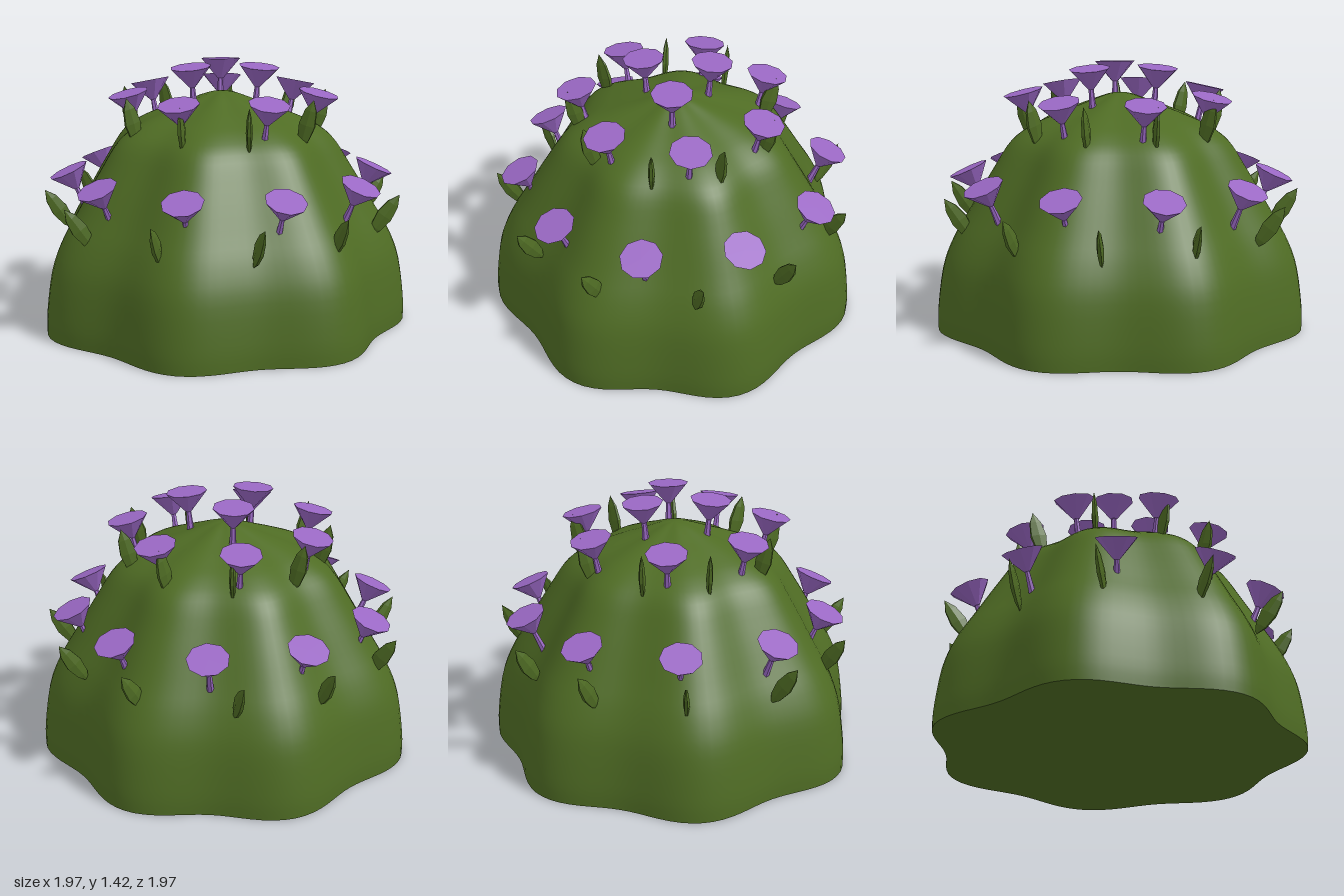
import * as THREE from 'three';
import { mergeVertices } from 'three/addons/utils/BufferGeometryUtils.js';

const green = new THREE.MeshStandardMaterial({ color: 0x4f6c24 });
green.name = 'mossGreen';
const purple = new THREE.MeshStandardMaterial({ color: 0x9a68c4, flatShading: true });
purple.name = 'petalPurple';
const leafGreen = new THREE.MeshStandardMaterial({ color: 0x4f6c24, flatShading: true });
leafGreen.name = 'leafGreen';

const v2 = (pairs) => pairs.map(([x, y]) => new THREE.Vector2(x, y));

// Revolve a profile, then swell it into seven soft lobes
function lobed(points) {
  const geo = new THREE.LatheGeometry(points, 112);
  const p = geo.attributes.position;
  for (let i = 0; i < p.count; i++) {
    const x = p.getX(i), z = p.getZ(i);
    const k = 1 - 0.05 * Math.cos(7 * Math.atan2(z, x));
    p.setXYZ(i, x * k, p.getY(i), z * k);
  }
  geo.deleteAttribute('uv');
  geo.deleteAttribute('normal');
  const merged = mergeVertices(geo, 1e-5);
  merged.computeVertexNormals();
  return merged;
}

export function createModel() {
  const model = new THREE.Group();
  model.name = 'floweringBush';

  const add = (parent, name, geo, mat) => {
    const mesh = new THREE.Mesh(geo, mat);
    mesh.name = name;
    parent.add(mesh);
    return mesh;
  };

  // Dome and its flat underside
  const profile = new THREE.SplineCurve(v2([
    [0.955, 0], [0.953, 0.12], [0.92, 0.35], [0.86, 0.51], [0.775, 0.66], [0.66, 0.86],
    [0.565, 1.01], [0.46, 1.09], [0.34, 1.145], [0.2, 1.2], [0.07, 1.25], [0, 1.26],
  ])).getPoints(40);
  add(model, 'dome', lobed(profile), green);
  add(model, 'underside', lobed(v2([[0, 0], [0.955, 0]])), green);

  // Flowers: funnel head on a thin stem, origin at the middle of the flat top
  const headGeo = new THREE.CylinderGeometry(0.11, 0.016, 0.11, 9).translate(0, -0.055, 0);
  const stemGeo = new THREE.CylinderGeometry(0.013, 0.02, 0.13, 6).translate(0, -0.165, 0);
  const rings = [
    { y: 0.835, tilt: 0.42, at: [[-0.78, -0.3], [-0.8, 0.2], [-0.52, 0.65], [-0.04, 0.83], [0.46, 0.7],
      [0.78, 0.29], [0.81, -0.22], [0.53, -0.65], [0.05, -0.83], [-0.45, -0.7]] },
    { y: 1.265, tilt: 0.24, at: [[-0.5, -0.11], [-0.4, 0.33], [0.02, 0.52], [0.42, 0.31], [0.51, -0.13],
      [0.22, -0.48], [-0.23, -0.47]] },
    { y: 1.405, tilt: 0.1, at: [[0.08, -0.2], [-0.2, 0.03], [0.14, 0.16]] },
  ];
  for (const { y, tilt, at } of rings) {
    for (const [x, z] of at) {
      const flower = new THREE.Group();
      flower.name = 'flower';
      add(flower, 'flowerHead', headGeo, purple);
      add(flower, 'flowerStem', stemGeo, purple);
      flower.position.set(x, y, z);
      flower.rotation.set(0, -Math.atan2(z, x), -tilt);
      model.add(flower);
    }
  }

  // Leaves: slim pointed blades standing edge-on around the dome
  const leafGeo = new THREE.LatheGeometry(
    v2([[0, 0], [0.035, 0.06], [0.05, 0.14], [0.036, 0.22], [0, 0.28]]), 6).scale(1, 1, 0.36);
  const leafRing = (count, start, radius, y, tilt) => {
    for (let i = 0; i < count; i++) {
      const a = start + (i / count) * Math.PI * 2;
      const leaf = add(model, 'leaf', leafGeo, leafGreen);
      leaf.position.set(Math.cos(a) * radius, y, Math.sin(a) * radius);
      leaf.rotation.set(0, -a + 0.3 * Math.sin(i * 2.3), -tilt);
    }
  };
  leafRing(11, 0.105, 0.81, 0.5, 0.6);
  leafRing(9, 0.33, 0.49, 0.99, 0.26);

  return model;
}
